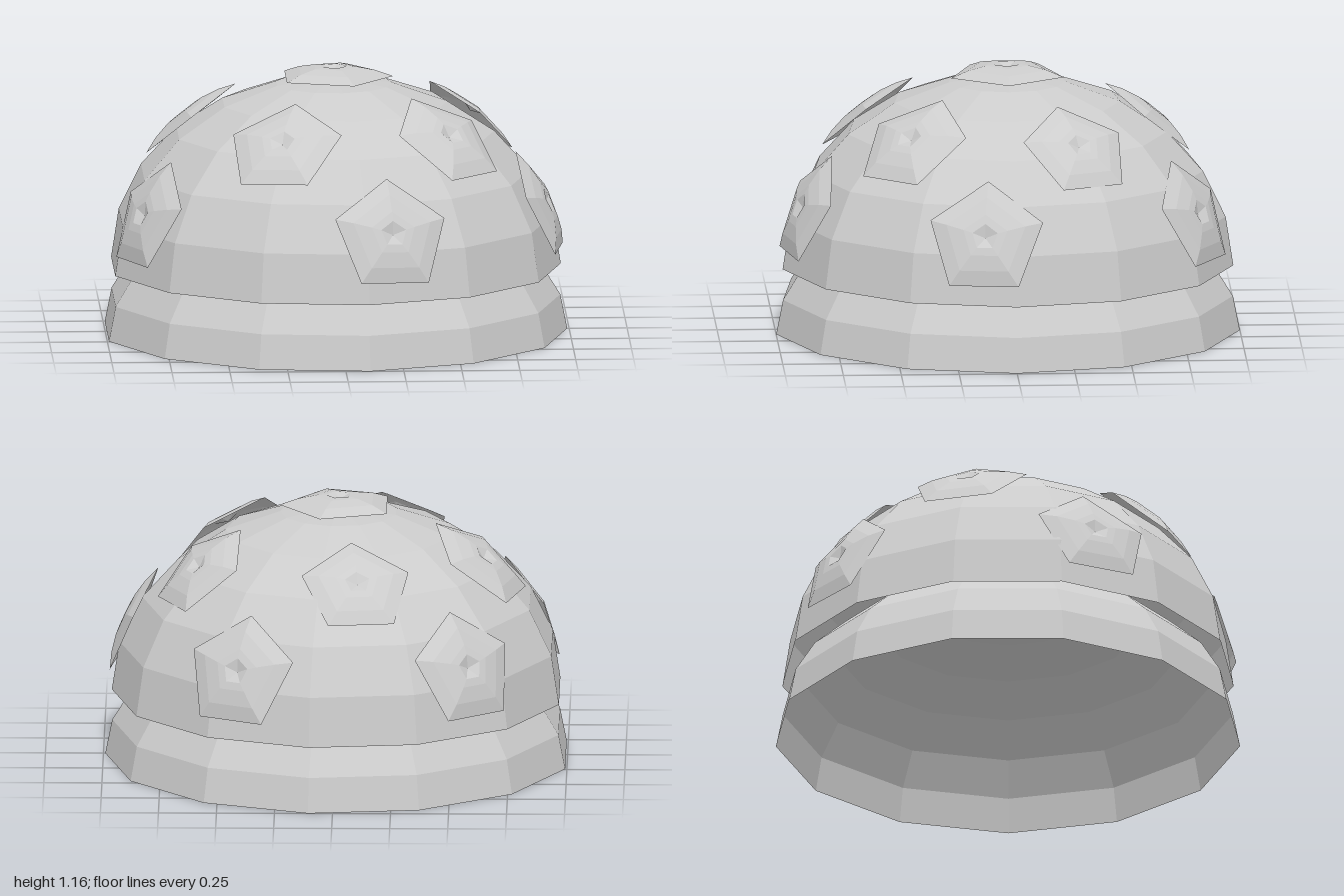
import * as THREE from 'three';

const CENTRE_X = -0.015;
const { degToRad } = THREE.MathUtils;
const material = new THREE.MeshStandardMaterial({ color: 0xcccccc, flatShading: true, side: THREE.DoubleSide });

// Faceted surface of revolution; the first corner points along +x, turned by turn degrees
function lathe(name, profile, sides, turn) {
  const points = profile.map(([r, y]) => new THREE.Vector2(r, y));
  const mesh = new THREE.Mesh(new THREE.LatheGeometry(points, sides, degToRad(90 + turn)), material);
  mesh.name = name;
  return mesh;
}

// Thirteen-sided squashed half-sphere with rings every step degrees
function shell(name, radius, height, step) {
  const profile = [];
  for (let i = 0; i < 6; i++) {
    const t = degToRad(i * step);
    profile.push([radius * Math.cos(t), height * Math.sin(t)]);
  }
  profile.push([0, height]);
  return lathe(name, profile, 13, 0);
}

// Shallow five-sided plate with a dimpled tip
const PLATE = [[0.256, 0], [0.18, 0.027], [0.1, 0.043], [0.058, 0.046], [0, 0.025]];
const plate = (name, turn) => lathe(name, PLATE, 5, turn);

export function createModel() {
  const model = new THREE.Group();
  model.name = 'studdedDome';

  // Two nested shells
  const lower = shell('lowerShell', 1.007, 0.62, 14);
  const upper = shell('upperShell', 0.979, 0.825, 15);
  upper.position.y = 0.285;
  model.add(lower, upper);

  // Plate on the crown
  const crown = plate('crownPlate', 0);
  crown.position.y = 1.11;
  model.add(crown);

  // Plates leaning outwards, one corner uphill: [angle, radius, height, elevation, roll, size]
  const rings = {
    upperPlate: [
      [-25.4, 0.647, 0.888, 48, 0, 0.95],
      [42, 0.632, 0.9, 50, 0, 1],
      [112, 0.633, 0.902, 51, 4, 1],
      [195.5, 0.633, 0.9, 51, 0, 1],
      [262.2, 0.62, 0.902, 51, 0, 0.95],
    ],
    lowerPlate: [
      [8.3, 0.892, 0.565, 24, 0, 1],
      [76, 0.892, 0.565, 24, -2, 1],
      [155.5, 0.888, 0.565, 24, 0, 1],
      [232, 0.892, 0.565, 24, 0, 1],
      [298, 0.888, 0.565, 24, 0, 1],
    ],
  };
  for (const [name, places] of Object.entries(rings)) {
    places.forEach(([angle, radius, height, elevation, roll, size], i) => {
      const arm = new THREE.Group();
      arm.name = `${name}${i + 1}`;
      arm.rotation.y = -degToRad(angle);
      const mesh = plate(name, 180 + roll);
      mesh.position.set(radius, height, 0);
      mesh.rotation.z = -degToRad(90 - elevation);
      mesh.scale.setScalar(size);
      arm.add(mesh);
      model.add(arm);
    });
  }

  for (const part of model.children) part.position.x = CENTRE_X;
  return model;
}
